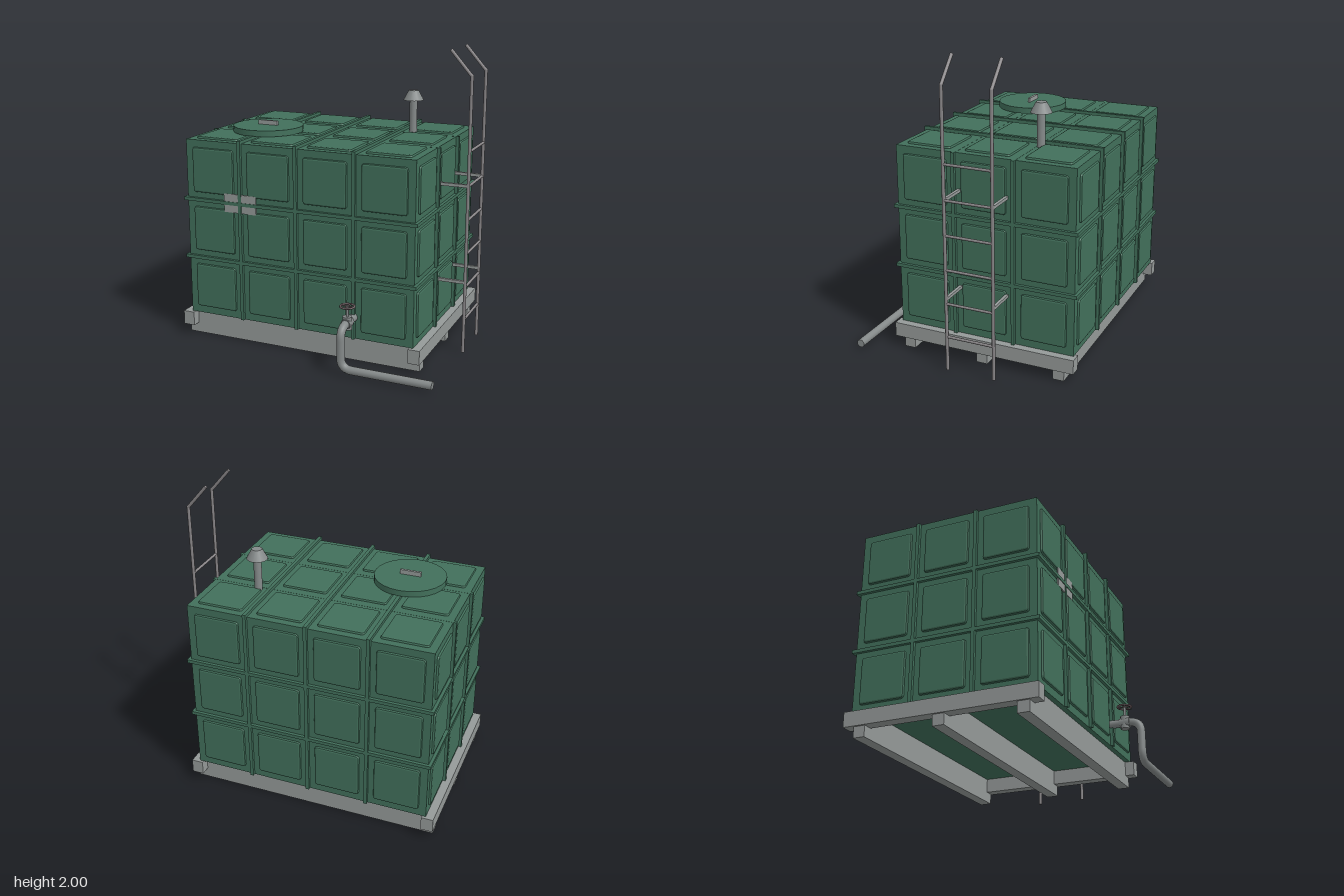
import * as THREE from 'three';

const mat = (name, color) => {
  const m = new THREE.MeshStandardMaterial({ color });
  m.name = name;
  return m;
};

export function createModel() {
  const green = mat('tank green', 0x42705b);
  const steel = mat('base grey', 0x959a99);
  const pipeGrey = mat('pipe grey', 0x858a8a);
  const railGrey = mat('ladder grey', 0x878486);
  const wheelTone = mat('handwheel dark', 0x6f5f63);

  const model = new THREE.Group();
  model.name = 'waterTank';
  const add = (name, geo, material, x = 0, y = 0, z = 0) => {
    const m = new THREE.Mesh(geo, material);
    m.name = name;
    m.position.set(x, y, z);
    model.add(m);
    return m;
  };
  // box given by its min and max corners
  const box = (name, material, x0, x1, y0, y1, z0, z1) =>
    add(name, new THREE.BoxGeometry(x1 - x0, y1 - y0, z1 - z0), material,
      (x0 + x1) / 2, (y0 + y1) / 2, (z0 + z1) / 2);
  // round bar between two points
  const bar = (name, material, a, b, r, sides = 12) => {
    const p = new THREE.Vector3(...a), q = new THREE.Vector3(...b);
    const m = add(name, new THREE.CylinderGeometry(r, r, p.distanceTo(q), sides), material);
    m.position.copy(p).add(q).multiplyScalar(0.5);
    m.quaternion.setFromUnitVectors(new THREE.Vector3(0, 1, 0), q.sub(p).normalize());
    return m;
  };

  // tank body
  const P = 0.403, X0 = -0.886, X1 = X0 + 4 * P, Y0 = 0.165, Y1 = Y0 + 3 * P, Z0 = -0.711, Z1 = Z0 + 3 * P;
  box('tankBody', green, X0, X1, Y0, Y1, Z0, Z1);

  // pressed panel: raised rounded square with a bevelled edge
  const h = 0.14, r = 0.008;
  const s = new THREE.Shape();
  s.moveTo(-h + r, -h);
  s.lineTo(h - r, -h); s.quadraticCurveTo(h, -h, h, -h + r);
  s.lineTo(h, h - r); s.quadraticCurveTo(h, h, h - r, h);
  s.lineTo(-h + r, h); s.quadraticCurveTo(-h, h, -h, h - r);
  s.lineTo(-h, -h + r); s.quadraticCurveTo(-h, -h, -h + r, -h);
  const panelGeo = new THREE.ExtrudeGeometry(s, {
    depth: 0.004, bevelThickness: 0.011, bevelSize: 0.012, bevelSegments: 2, curveSegments: 3,
  });
  const panel = (x, y, z, rx, ry) => add('panel', panelGeo, green, x, y, z).rotation.set(rx, ry, 0);
  const mid = (start, i) => start + P * (i + 0.5);
  for (let i = 0; i < 4; i++) {
    for (let j = 0; j < 3; j++) {
      panel(mid(X0, i), mid(Y0, j), Z1, 0, 0);
      panel(mid(X0, i), mid(Y0, j), Z0, 0, Math.PI);
      panel(mid(X0, i), Y1, mid(Z0, j), -Math.PI / 2, 0);
    }
  }
  for (let i = 0; i < 3; i++) {
    for (let j = 0; j < 3; j++) {
      panel(X1, mid(Y0, j), mid(Z0, i), 0, Math.PI / 2);
      panel(X0, mid(Y0, j), mid(Z0, i), 0, -Math.PI / 2);
    }
  }

  // seam flanges
  const f = 0.0115, out = 0.02;
  for (let i = 1; i < 4; i++) {
    const x = X0 + i * P;
    box('crossFlange', green, x - f, x + f, Y0, Y1 + out, Z0 - out, Z1 + out);
  }
  for (let i = 1; i < 3; i++) {
    const y = Y0 + i * P, z = Z0 + i * P;
    box('levelFlange', green, X0 - out, X1 + out, y - f, y + f, Z0 - out, Z1 + out);
    box('sideFlange', green, X0 - out, X1 + out, Y0, Y1 + 0.001, z - f, z + f);
  }

  // plain plate behind the crossing flanges
  box('namePlate', steel, -0.6, -0.365, 0.91, 1.035, 0.506, 0.5145);

  // base frame
  for (const z of [0.427, -0.1, -0.625]) box('baseBeam', steel, -0.926, 0.762, 0, 0.164, z - 0.038, z + 0.038);
  box('endBeamRight', steel, -0.94, -0.86, 0.07, 0.165, -0.73, 0.525);
  box('endBeamLeft', steel, 0.7, 0.778, 0.07, 0.165, -0.73, 0.525);

  // manhole lid and handle
  add('lid', new THREE.CylinderGeometry(0.238, 0.238, 0.04, 24), green, -0.483, 1.412, 0.093);
  box('lidHandle', steel, -0.555, -0.413, 1.43, 1.462, 0.085, 0.102);

  // roof vent
  bar('ventPipe', pipeGrey, [0.402, 1.37, -0.347], [0.402, 1.61, -0.347], 0.026, 16);
  add('ventCap', new THREE.CylinderGeometry(0.034, 0.069, 0.066, 16), pipeGrey, 0.402, 1.628, -0.347);

  // ladder
  const LX = 0.923, rails = [0.06, -0.262];
  for (const z of rails) {
    bar('ladderRail', railGrey, [LX, 0, z], [LX, 1.835, z], 0.011);
    bar('ladderGrip', railGrey, [LX, 1.832, z], [0.785, 1.99, z], 0.011);
    add('railJoint', new THREE.SphereGeometry(0.011, 12, 8), railGrey, LX, 1.835, z);
    for (const y of [0.487, 1.133]) box('ladderBracket', steel, 0.725, 0.92, y - 0.01, y + 0.01, z - 0.01, z + 0.01);
  }
  for (let i = 0; i < 6; i++) {
    const y = 0.229 + i * 0.2255;
    bar('ladderRung', railGrey, [LX, y, rails[0]], [LX, y, rails[1]], 0.009);
  }

  // outlet pipe with two rounded elbows
  const V = (x, y, z) => new THREE.Vector3(x, y, z);
  const PX = 0.322, PY = 0.31, PZ = 0.706, B = 0.075, LY = 0.042;
  const path = new THREE.CurvePath();
  path.add(new THREE.LineCurve3(V(PX, PY, 0.48), V(PX, PY, PZ - B)));
  path.add(new THREE.QuadraticBezierCurve3(V(PX, PY, PZ - B), V(PX, PY, PZ), V(PX, PY - B, PZ)));
  path.add(new THREE.LineCurve3(V(PX, PY - B, PZ), V(PX, LY + B, PZ)));
  path.add(new THREE.QuadraticBezierCurve3(V(PX, LY + B, PZ), V(PX, LY, PZ), V(PX + B, LY, PZ)));
  path.add(new THREE.LineCurve3(V(PX + B, LY, PZ), V(0.927, LY, PZ)));
  const pipeMat = pipeGrey.clone();
  pipeMat.side = THREE.DoubleSide;
  add('outletPipe', new THREE.TubeGeometry(path, 90, 0.027, 12), pipeMat);
  bar('pipeEnd', pipeGrey, [0.92, LY, PZ], [0.927, LY, PZ], 0.0265);

  // valve with handwheel
  const VZ = 0.6, WY = 0.42;
  bar('valveBody', pipeGrey, [PX, 0.268, VZ], [PX, 0.353, VZ], 0.032, 8);
  bar('valveCollar', pipeGrey, [PX, PY, VZ - 0.034], [PX, PY, VZ + 0.034], 0.034, 8);
  bar('valveStem', pipeGrey, [PX, 0.35, VZ], [PX, WY + 0.006, VZ], 0.009);
  add('handwheel', new THREE.TorusGeometry(0.045, 0.007, 8, 20), wheelTone, PX, WY, VZ).rotation.x = Math.PI / 2;
  bar('wheelSpoke', wheelTone, [PX - 0.045, WY, VZ], [PX + 0.045, WY, VZ], 0.005, 8);
  bar('wheelSpoke', wheelTone, [PX, WY, VZ - 0.045], [PX, WY, VZ + 0.045], 0.005, 8);

  return model;
}
